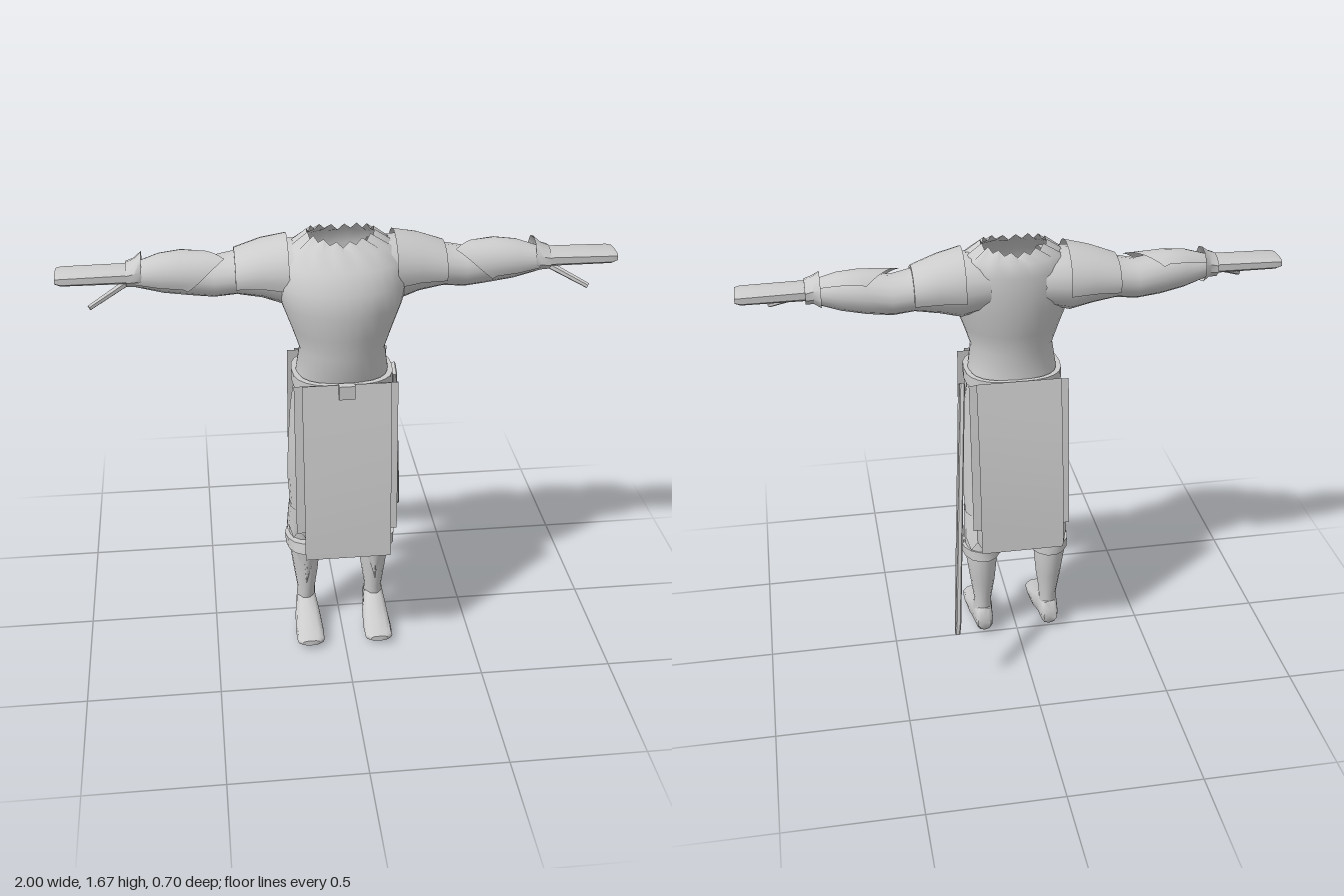
import * as THREE from 'three';
import { toCreasedNormals } from 'three/addons/utils/BufferGeometryUtils.js';

const grey = new THREE.MeshStandardMaterial({ color: 0xcccccc, side: THREE.DoubleSide });
grey.name = 'plain grey';

function add(parent, name, geometry, crease = 0.7) {
  const mesh = new THREE.Mesh(toCreasedNormals(geometry, crease), grey);
  mesh.name = name;
  parent.add(mesh);
  return mesh;
}

// Skin through cross-sections [t, a0, a1, b0, b1] stacked along an axis.
// y: a = x, b = z.  x: a = y, b = z.  z: a = x, b = y.
function loft(axis, sections, { n = 16, power = 1, arc = null, cap = false, edit = null } = {}) {
  const list = sections.slice();
  if (cap) {
    const point = ([t, a0, a1, b0, b1]) => [t, (a0 + a1) / 2, (a0 + a1) / 2, (b0 + b1) / 2, (b0 + b1) / 2];
    list.unshift(point(sections[0]));
    list.push(point(sections[sections.length - 1]));
  }
  const [from, to] = arc || [0, Math.PI * 2];
  const cols = arc ? n + 1 : n;
  const bend = (v) => Math.sign(v) * Math.abs(v) ** power;
  const pos = [], index = [];
  list.forEach(([t, a0, a1, b0, b1], row) => {
    for (let i = 0; i < cols; i++) {
      const q = from + ((to - from) * i) / n;
      const a = (a0 + a1) / 2 + (bend(Math.cos(q)) * (a1 - a0)) / 2;
      const b = (b0 + b1) / 2 + (bend(Math.sin(q)) * (b1 - b0)) / 2;
      const p = axis === 'y' ? [a, t, b] : axis === 'x' ? [t, a, b] : [a, b, t];
      if (edit) edit(p, row, i, list.length);
      pos.push(...p);
    }
  });
  for (let r = 0; r < list.length - 1; r++) {
    for (let i = 0; i < n; i++) {
      const j = (i + 1) % cols;
      const [a, b, c, d] = [r * cols + i, r * cols + j, (r + 1) * cols + j, (r + 1) * cols + i];
      if (axis === 'y') index.push(a, c, b, a, d, c);
      else index.push(a, b, c, a, c, d);
    }
  }
  const g = new THREE.BufferGeometry();
  g.setAttribute('position', new THREE.Float32BufferAttribute(pos, 3));
  g.setIndex(index);
  g.computeVertexNormals();
  return g;
}

// Hanging cloth sheet following a [y, z] profile
function sheet(x0, x1, profile) {
  const g = new THREE.PlaneGeometry(x1 - x0, 1, 1, profile.length - 1);
  const p = g.attributes.position;
  for (let i = 0; i < p.count; i++) {
    const [y, z] = profile[Math.floor(i / 2)];
    p.setXYZ(i, p.getX(i) + (x0 + x1) / 2, y, z);
  }
  g.computeVertexNormals();
  return g;
}

// Straight rod between two points
function rod(a, b, r0, r1, sides = 6) {
  const d = b.clone().sub(a);
  const g = new THREE.CylinderGeometry(r1, r0, d.length(), sides);
  g.applyQuaternion(new THREE.Quaternion().setFromUnitVectors(new THREE.Vector3(0, 1, 0), d.clone().normalize()));
  const m = a.clone().add(b).multiplyScalar(0.5);
  return g.translate(m.x, m.y, m.z);
}

function buildArm() {
  const arm = new THREE.Group();
  add(arm, 'arm', loft('x', [
    [0.10, 1.42, 1.63, -0.045, 0.21], [0.20, 1.40, 1.635, -0.06, 0.19], [0.28, 1.425, 1.615, -0.06, 0.165],
    [0.37, 1.44, 1.59, -0.045, 0.145], [0.45, 1.43, 1.575, -0.035, 0.13], [0.54, 1.44, 1.59, -0.03, 0.125],
    [0.63, 1.455, 1.585, -0.01, 0.12], [0.73, 1.485, 1.56, 0.02, 0.11]]), 1.2);
  // shoulder plate wraps over the top of the upper arm
  add(arm, 'shoulderPlate', loft('x', [
    [0.19, 1.40, 1.655, -0.065, 0.20], [0.28, 1.42, 1.635, -0.066, 0.178], [0.375, 1.43, 1.60, -0.058, 0.158],
    [0.375, 1.44, 1.59, -0.045, 0.145]], { arc: [-1.9, 1.9] }));
  // bracer with a pointed elbow end
  add(arm, 'bracer', loft('x', [
    [0.50, 1.43, 1.595, -0.037, 0.135], [0.56, 1.438, 1.603, -0.035, 0.133],
    [0.64, 1.45, 1.595, -0.018, 0.126], [0.72, 1.478, 1.57, 0.01, 0.115]],
  { arc: [-0.9, 2.0], n: 12, edit: (p, row, i) => { if (row === 0) p[0] += Math.abs(i - 6) * 0.022 - 0.09; } }));
  // flared wrist cuff
  add(arm, 'wristCuff', loft('x', [
    [0.70, 1.472, 1.605, -0.02, 0.12], [0.725, 1.485, 1.585, 0.0, 0.125],
    [0.755, 1.488, 1.573, 0.0, 0.125], [0.755, 1.505, 1.56, 0.015, 0.115]], { n: 10 }));
  add(arm, 'hand', loft('x', [
    [0.73, 1.505, 1.56, 0.01, 0.12], [0.98, 1.507, 1.555, 0.005, 0.122], [1.0, 1.515, 1.55, 0.008, 0.118]],
  { n: 10, power: 0.65, cap: true }), 0.5);
  add(arm, 'thumb', rod(new THREE.Vector3(0.73, 1.52, 0.08), new THREE.Vector3(0.885, 1.448, 0.158), 0.014, 0.01));
  return arm;
}

function buildLeg() {
  const leg = new THREE.Group();
  add(leg, 'leg', loft('y', [
    [0.07, 0.10, 0.175, 0.0, 0.09], [0.15, 0.10, 0.17, 0.0, 0.10], [0.25, 0.085, 0.185, -0.02, 0.11],
    [0.36, 0.075, 0.20, -0.032, 0.115], [0.42, 0.075, 0.20, -0.03, 0.125], [0.55, 0.07, 0.195, -0.01, 0.155],
    [0.70, 0.05, 0.205, 0.0, 0.182], [0.85, 0.02, 0.20, 0.0, 0.20], [1.0, 0.0, 0.19, -0.01, 0.208],
    [1.10, 0.0, 0.175, -0.025, 0.22]]), 1.2);
  add(leg, 'foot', loft('z', [
    [-0.015, 0.11, 0.165, 0.03, 0.08], [0.0, 0.10, 0.17, 0.01, 0.12], [0.06, 0.095, 0.178, 0.005, 0.14],
    [0.12, 0.085, 0.185, 0.0, 0.10], [0.20, 0.08, 0.19, 0.0, 0.062], [0.26, 0.082, 0.188, 0.008, 0.045],
    [0.28, 0.10, 0.17, 0.018, 0.04]], { n: 12, power: 0.8, cap: true }), 0.9);
  // shin plate narrowing to a point
  add(leg, 'shinPlate', loft('y', [
    [0.20, 0.135, 0.139, 0.0, 0.112], [0.30, 0.095, 0.175, -0.02, 0.122], [0.39, 0.065, 0.205, -0.035, 0.135]],
  { arc: [0.2, Math.PI - 0.2], n: 10 }));
  // boot cuff
  add(leg, 'bootCuff', loft('y', [
    [0.37, 0.075, 0.20, -0.03, 0.12], [0.37, 0.058, 0.213, -0.04, 0.168],
    [0.412, 0.054, 0.216, -0.036, 0.155], [0.412, 0.08, 0.195, -0.025, 0.12]], { n: 14 }));
  // ragged trouser hem above the cuff
  add(leg, 'trouserHem', loft('y', [
    [0.43, 0.062, 0.208, -0.04, 0.135], [0.56, 0.066, 0.20, -0.012, 0.158]],
  { n: 16, edit: (p, row, i) => { if (row === 0) p[1] += i % 2 ? 0.03 : -0.015; } }));
  return leg;
}

export function createModel() {
  const model = new THREE.Group();
  model.name = 'swordsman';

  // Torso, open at a torn neckline
  add(model, 'torso', loft('y', [
    [1.02, 0, 0, -0.005, 0.19], [1.10, 0, 0, -0.025, 0.235], [1.16, 0, 0, -0.02, 0.262], [1.25, 0, 0, -0.012, 0.27],
    [1.33, 0, 0, -0.03, 0.285], [1.42, 0, 0, -0.05, 0.298], [1.50, 0, 0, -0.055, 0.29],
    [1.57, 0, 0, -0.055, 0.25], [1.62, 0, 0, -0.045, 0.20], [1.65, 0, 0, -0.015, 0.165]]
    .map(([y, , , b, f], i) => {
      const w = [0.17, 0.175, 0.168, 0.155, 0.182, 0.215, 0.235, 0.225, 0.19, 0.12][i];
      return [y, -w, w, b, f];
    }), {
    n: 32,
    edit: (p, row, i, rows) => {
      if (row === rows - 1) p[1] += (i % 2 ? 0.008 : -0.01) + Math.abs(p[0]) * 0.16 - 0.006;
    },
  }), 1.2);

  // Limbs, mirrored left and right
  for (const [side, s] of [['left', 1], ['right', -1]]) {
    const arm = buildArm(), leg = buildLeg();
    arm.name = side + 'Arm';
    leg.name = side + 'Leg';
    arm.scale.x = leg.scale.x = s;
    model.add(arm, leg);
    // folded cloth at the hip
    const fold = add(model, side + 'HipFold', loft('y', [
      [0.86, 0.145, 0.15, 0.215, 0.235], [1.0, 0.135, 0.165, 0.20, 0.25], [1.12, 0.12, 0.175, 0.19, 0.26]], { n: 6, cap: true }));
    fold.scale.x = s;
  }

  // Belt and buckle
  add(model, 'belt', loft('y', [
    [1.112, -0.17, 0.17, -0.02, 0.25], [1.112, -0.185, 0.185, -0.037, 0.275],
    [1.155, -0.185, 0.185, -0.037, 0.275], [1.155, -0.165, 0.165, -0.02, 0.255]], { n: 24, power: 0.75 }));
  add(model, 'buckle', new THREE.BoxGeometry(0.058, 0.052, 0.03).translate(0, 1.138, 0.288));

  // Long cloth panels with a shorter, wider layer under each
  const panels = [
    ['frontPanel', 0.16, [[1.16, 0.278], [1.0, 0.30], [0.8, 0.325], [0.62, 0.342], [0.47, 0.35]]],
    ['frontUnderPanel', 0.188, [[1.155, 0.265], [0.95, 0.28], [0.75, 0.295], [0.56, 0.302]]],
    ['backPanel', 0.16, [[1.16, -0.045], [1.0, -0.075], [0.8, -0.105], [0.62, -0.122], [0.47, -0.13]]],
    ['backUnderPanel', 0.188, [[1.155, -0.04], [0.95, -0.065], [0.75, -0.085], [0.56, -0.10]]],
  ];
  for (const [name, w, profile] of panels) add(model, name, sheet(-w, w, profile), 1);

  // Sword hanging at the left hip
  const top = new THREE.Vector3(0.2, 1.11, 0.07), tip = new THREE.Vector3(0.29, 0.265, -0.345);
  const up = top.clone().sub(tip), len = up.length();
  up.normalize();
  const wide = new THREE.Vector3(1, 0, 0).cross(up).normalize();
  const flat = wide.clone().cross(up);
  const outline = [[0, 0], [0.022, 0.06], [0.026, len], [-0.026, len], [-0.022, 0.045]];
  const blade = new THREE.ExtrudeGeometry(
    new THREE.Shape(outline.map(([x, y]) => new THREE.Vector2(x, y))),
    { depth: 0.012, bevelEnabled: true, bevelSize: 0.004, bevelThickness: 0.004, bevelSegments: 1 });
  blade.translate(0, 0, -0.006);
  blade.applyMatrix4(new THREE.Matrix4().makeBasis(wide, up, flat).setPosition(tip));
  add(model, 'sword', blade, 0.5);

  return model;
}
